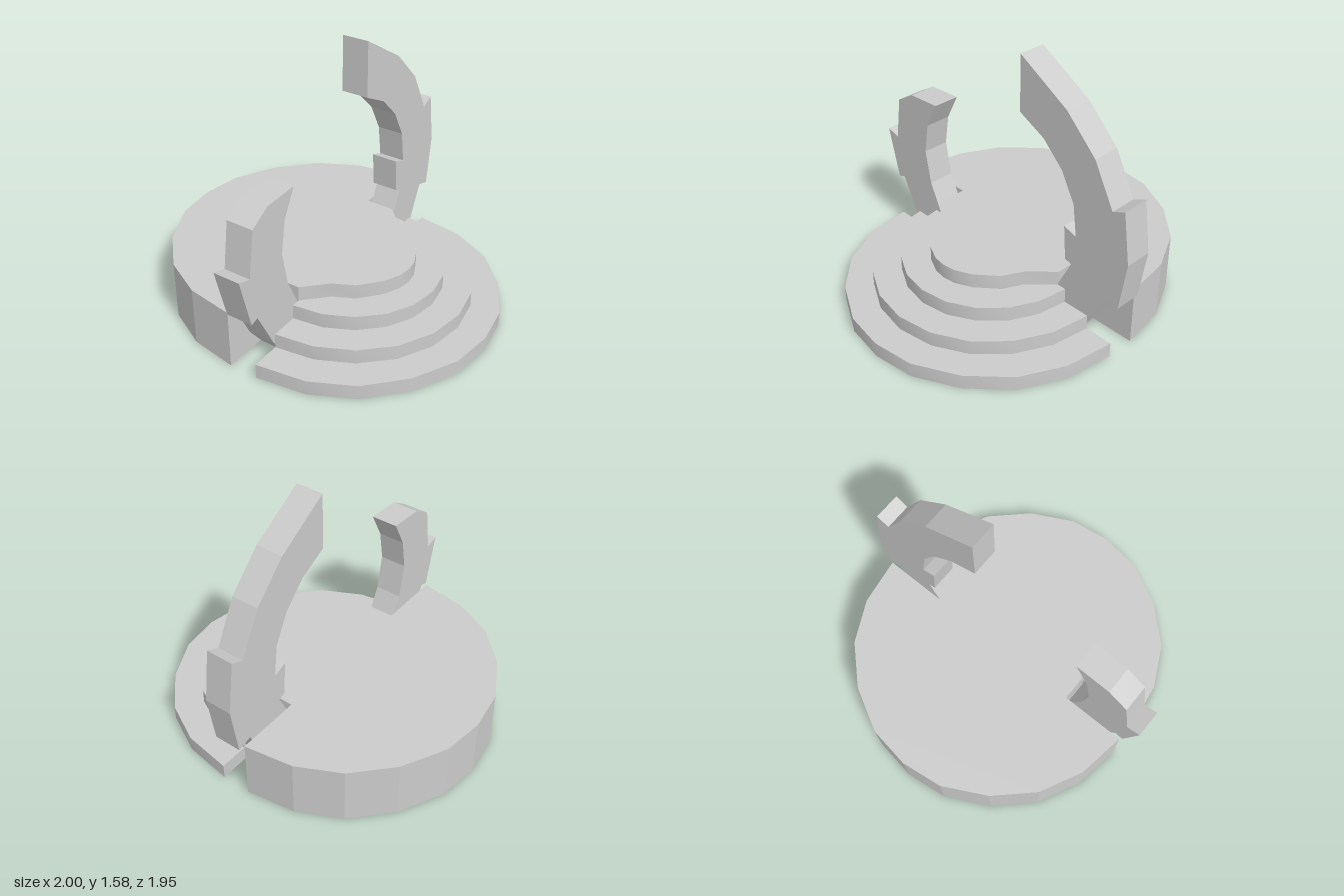
import * as THREE from 'three';
import { toCreasedNormals } from 'three/addons/utils/BufferGeometryUtils.js';

const material = new THREE.MeshStandardMaterial({ color: 0xcccccc, flatShading: true });
const smooth = new THREE.MeshStandardMaterial({ color: 0xcccccc });
const STEP = 0.09;       // height of one stair
const RIGHT = 0.085;     // inner edge of the stepped half
const LEFT = -0.09;      // inner edge of the solid half
const ZC = -0.008;       // centre of the plan along z

const toShape = (pts) => new THREE.Shape(pts.map(([a, b]) => new THREE.Vector2(a, b)));

// Quarter outline from the tip on the x axis to the straight inner edge
function quarterEllipse(rx, rz) {
  const pts = [];
  for (let i = 0; i <= 5; i++) {
    const a = (i * Math.PI) / 10;
    pts.push([RIGHT + rx * Math.cos(a), rz * Math.sin(a)]);
  }
  return pts;
}

// Mirror a quarter outline across z to make a closed half disc
function halfDisc(quarter) {
  const mirrored = quarter.slice(1).reverse().map(([x, z]) => [x, -z]);
  return [...mirrored, ...quarter];
}

// Upright slab from a plan outline
function slab(name, outline, y, height, mat) {
  let geo = new THREE.ExtrudeGeometry(toShape(outline), { depth: height, bevelEnabled: false });
  geo.rotateX(-Math.PI / 2).translate(0, y, ZC);
  if (mat === smooth) geo = toCreasedNormals(geo, 0.42);
  const mesh = new THREE.Mesh(geo, mat);
  mesh.name = name;
  return mesh;
}

// Curved arm from a side profile of [z, y] points
function arm(name, profile) {
  const geo = new THREE.ExtrudeGeometry(toShape(profile), { depth: 0.165, bevelEnabled: false });
  geo.rotateY(-Math.PI / 2).translate(RIGHT, 0, 0);
  const mesh = new THREE.Mesh(geo, material);
  mesh.name = name;
  return mesh;
}

export function createModel() {
  const group = new THREE.Group();
  group.name = 'steppedPlatform';

  const outer = [[1, 0], [0.965, 0.252], [0.83, 0.511], [0.63, 0.72], [0.38, 0.845], [RIGHT, 0.89]];
  const inner = [[0.5, 0], [0.49, 0.077], [0.443, 0.178], [0.338, 0.3], [0.215, 0.362], [RIGHT, 0.494]];

  // Stairs on one half, shrinking upwards
  const tiers = [outer, quarterEllipse(0.745, 0.715), quarterEllipse(0.575, 0.547), inner];
  tiers.forEach((quarter, i) => {
    group.add(slab('stair' + (i + 1), halfDisc(quarter), i * STEP, STEP, smooth));
  });

  // Solid drum on the other half
  const drum = outer.map(([x, z]) => [x === RIGHT ? LEFT : -x, z]);
  group.add(slab('solidHalf', halfDisc(drum), 0, 4 * STEP, material));

  // Bridge between the halves, leaving a slot for each arm
  const bridge = [[LEFT, -0.494], [RIGHT, -0.494], [RIGHT, 0.494], [LEFT, 0.494]];
  group.add(slab('bridge', bridge, 0, 4 * STEP, material));

  // Short arm at the front
  group.add(arm('frontArm', [
    [0.505, 1.015], [0.725, 1.005], [0.85, 0.93], [0.89, 0.655], [0.975, 0.68],
    [0.895, 0.365], [0.845, 0.38], [0.72, 0.13], [0.62, 0], [0.49, 0],
    [0.5, 0.28], [0.58, 0.45], [0.62, 0.66], [0.59, 0.85],
  ]));

  // Tall arm at the back, curling forward
  group.add(arm('backArm', [
    [-0.19, 1.58], [-0.52, 1.38], [-0.72, 1.18], [-0.85, 0.93], [-0.93, 0.965],
    [-0.973, 0.655], [-0.928, 0.35], [-0.84, 0.375], [-0.725, 0.135], [-0.62, 0],
    [-0.5, 0], [-0.5, 0.28], [-0.59, 0.46], [-0.545, 0.475], [-0.53, 0.685],
    [-0.615, 0.655], [-0.59, 0.85], [-0.5, 1.02], [-0.365, 1.155], [-0.19, 1.245],
  ]));

  return group;
}
